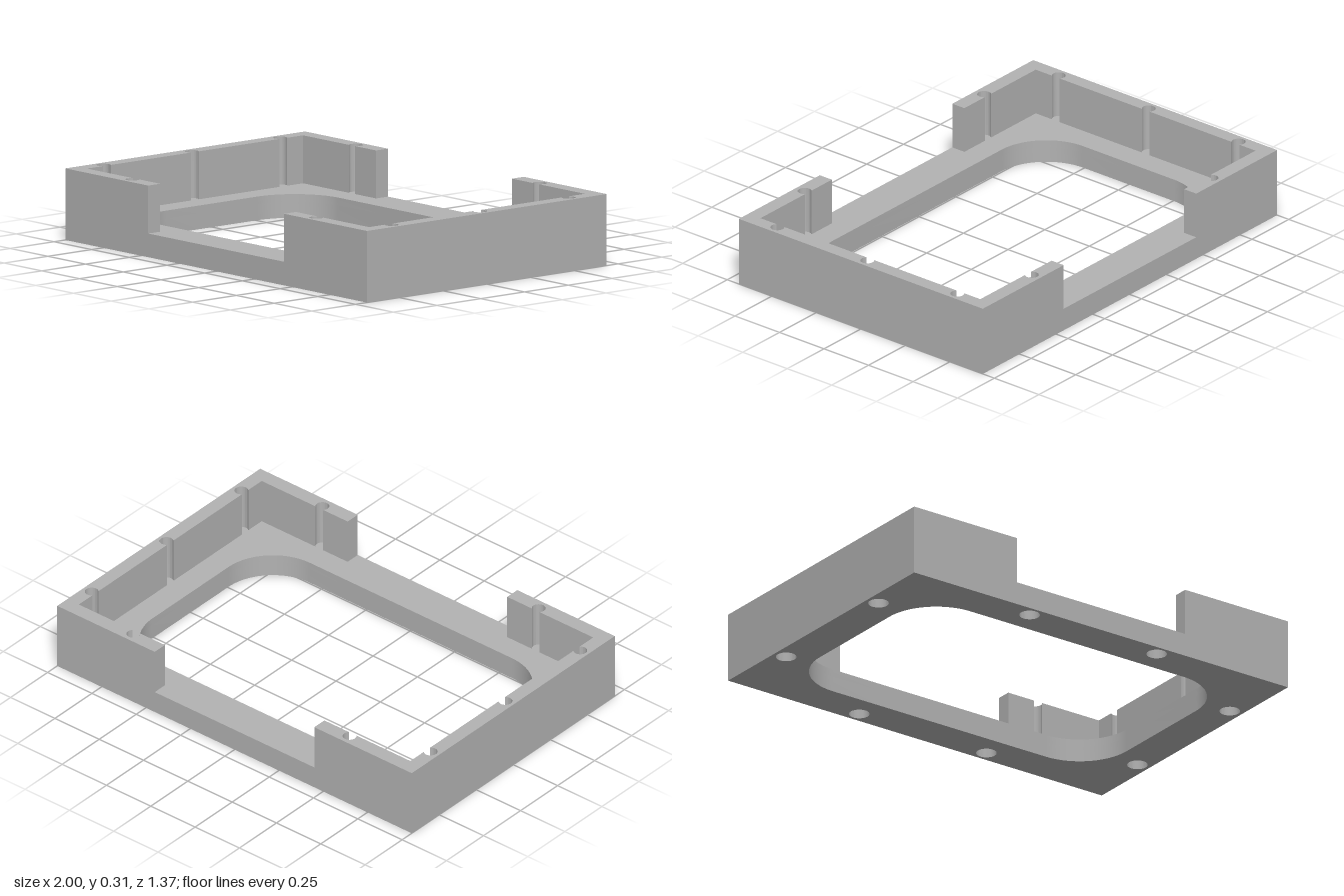
import * as THREE from 'three';
import { toCreasedNormals } from 'three/addons/utils/BufferGeometryUtils.js';

const W = 1, D = 0.685;            // half width and half depth
const FLOOR = 0.104, TOP = 0.315;  // floor and wall heights
const POCKET = 0.07;               // depth of the blind holes underneath
const IX = 0.935, IZ = 0.617;      // inner faces of the walls
const END = 0.45;                  // where the front and back walls stop

// Upright prism from a plan outline, between two heights
function prism(name, shape, y0, y1, material) {
  const geo = new THREE.ExtrudeGeometry(shape, { depth: y1 - y0, bevelEnabled: false, curveSegments: 16 });
  geo.rotateX(-Math.PI / 2);
  geo.translate(0, y0, 0);
  const mesh = new THREE.Mesh(toCreasedNormals(geo, 0.6), material);
  mesh.name = name;
  return mesh;
}

// Rectangular frame with a rounded opening
function frameShape() {
  const s = new THREE.Shape();
  s.moveTo(-W, -D).lineTo(W, -D).lineTo(W, D).lineTo(-W, D).closePath();
  const x = 0.82, z = 0.506, r = 0.25, q = Math.PI / 2;
  const hole = new THREE.Path();
  hole.absarc(x - r, z - r, r, 0, q);
  hole.absarc(-x + r, z - r, r, q, 2 * q);
  hole.absarc(-x + r, -z + r, r, 2 * q, 3 * q);
  hole.absarc(x - r, -z + r, r, 3 * q, 4 * q);
  hole.closePath();
  s.holes.push(hole);
  return s;
}

// C-shaped end wall with keyhole grooves on its inner faces
function wallShape() {
  const r = 0.03, inset = 0.021, open = Math.acos(inset / r);
  const s = new THREE.Shape();
  const groove = (x, z, facing) => s.absarc(
    x - Math.cos(facing) * inset, z - Math.sin(facing) * inset, r,
    facing - open, facing + open - 2 * Math.PI, true);
  s.moveTo(END, -D).lineTo(W, -D).lineTo(W, D).lineTo(END, D).lineTo(END, IZ);
  groove(0.61, IZ, -Math.PI / 2);
  s.lineTo(IX, IZ);
  for (const z of [0.505, 0, -0.505]) groove(IX, z, Math.PI);
  s.lineTo(IX, -IZ);
  groove(0.61, -IZ, Math.PI / 2);
  s.lineTo(END, -IZ);
  s.closePath();
  return s;
}

export function createModel() {
  const model = new THREE.Group();
  model.name = 'trayFrame';
  const grey = new THREE.MeshStandardMaterial({ color: 0xb2b2b2 });
  grey.name = 'grey';

  // Lower floor layer, pierced by the round pockets
  const lower = frameShape();
  for (const sx of [-1, 1]) for (const sz of [-1, 1]) {
    for (const [x, z] of [[0.94, 0.34], [0.34, 0.627]]) {
      lower.holes.push(new THREE.Path().absarc(sx * x, sz * z, 0.045, 0, Math.PI * 2));
    }
  }
  model.add(prism('baseUnderside', lower, 0, POCKET, grey));

  // Upper floor layer closes the pockets
  model.add(prism('baseFloor', frameShape(), POCKET, FLOOR, grey));

  // End walls, one turned to the other side
  const left = prism('leftWall', wallShape(), FLOOR, TOP, grey);
  const right = left.clone();
  right.name = 'rightWall';
  right.rotation.y = Math.PI;
  model.add(left, right);
  return model;
}
